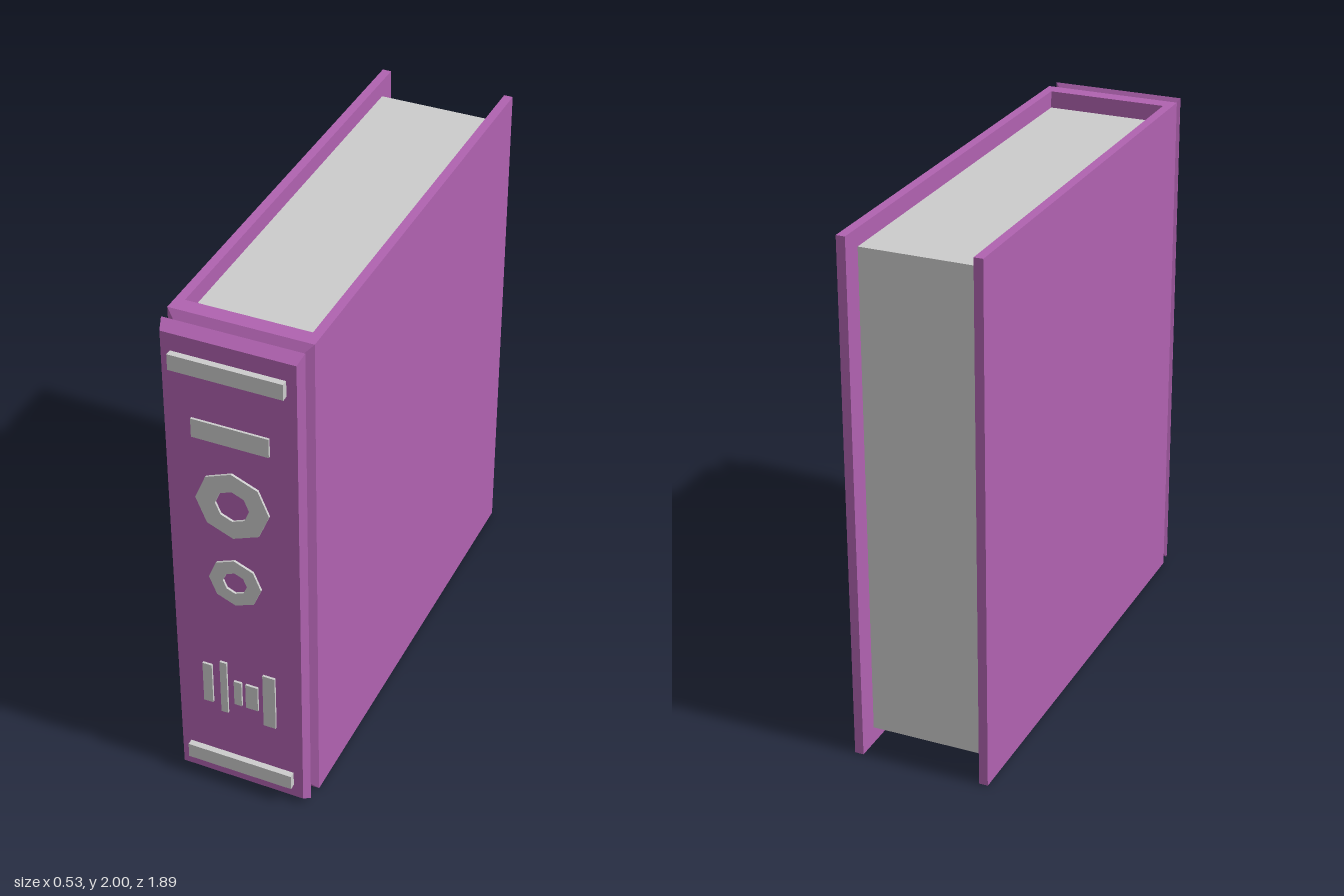
import * as THREE from 'three';

export function createModel() {
  const book = new THREE.Group();
  book.name = 'book';
  const purple = new THREE.MeshStandardMaterial({ color: 0xb062b0, flatShading: true });
  const grey = new THREE.MeshStandardMaterial({ color: 0xcccccc, flatShading: true });

  function add(name, geometry, material) {
    const mesh = new THREE.Mesh(geometry, material);
    mesh.name = name;
    book.add(mesh);
    return mesh;
  }

  // Box given by its limits on each axis
  function addBox(name, [x0, x1], [y0, y1], [z0, z1], material) {
    const mesh = add(name, new THREE.BoxGeometry(x1 - x0, y1 - y0, z1 - z0), material);
    mesh.position.set((x0 + x1) / 2, (y0 + y1) / 2, (z0 + z1) / 2);
  }

  // Cover: U-shaped plan (shape y is -z) raised to full height
  const outer = 0.264, inner = 0.23, hinge = 0.825, board = 0.765, back = -0.945;
  const plan = new THREE.Shape([
    [-outer, back], [-outer, hinge], [outer, hinge], [outer, back],
    [inner, back], [inner, board], [-inner, board], [-inner, back],
  ].map(([x, z]) => new THREE.Vector2(x, -z)));
  const cover = new THREE.ExtrudeGeometry(plan, { depth: 2, bevelEnabled: false });
  cover.rotateX(-Math.PI / 2);
  add('cover', cover, purple);

  // Spine: rectangular sections [half width, inset in height, z] form groove and bevel
  const sections = [[outer, 0, hinge], [0.215, 0.05, 0.856], [0.257, 0, 0.882], [0.244, 0.028, 0.921]];
  const spine = new THREE.BoxGeometry(2, 2, 3, 1, 1, 3);
  const pos = spine.attributes.position;
  for (let i = 0; i < pos.count; i++) {
    const [halfWidth, inset, z] = sections[Math.round(pos.getZ(i) + 1.5)];
    pos.setXYZ(i, pos.getX(i) * halfWidth, 1 + pos.getY(i) * (1 - inset), z);
  }
  spine.computeVertexNormals();
  add('spine', spine, purple);

  // Page block
  addBox('pages', [-inner, inner], [0.065, 1.935], [-0.86, board], grey);

  // Raised bands at both ends of the spine
  const face = 0.915;
  for (const y of [0.115, 1.873]) {
    addBox('spineBand', [-0.21, 0.207], [y - 0.031, y + 0.031], [face, 0.945], grey);
  }

  // Flat bars on the spine: [x range, y range]
  const bars = [
    [[-0.143, 0.143], [1.58, 1.655]],
    [[-0.143, -0.106], [0.385, 0.565]],
    [[-0.074, -0.047], [0.355, 0.595]],
    [[-0.02, 0.01], [0.41, 0.52]],
    [[0.026, 0.074], [0.41, 0.52]],
    [[0.095, 0.143], [0.35, 0.59]],
  ];
  for (const [x, y] of bars) addBox('spineBar', x, y, [face, 0.93], grey);

  // Octagonal rings: [centre height, outer radius, inner radius]
  const octagon = (r) => Array.from({ length: 8 }, (_, i) =>
    new THREE.Vector2(r * Math.cos(i * Math.PI / 4), r * Math.sin(i * Math.PI / 4)));
  for (const [y, r, hole] of [[1.327, 0.138, 0.064], [0.988, 0.1, 0.046]]) {
    const shape = new THREE.Shape(octagon(r));
    shape.holes.push(new THREE.Path(octagon(hole)));
    const ring = new THREE.ExtrudeGeometry(shape, { depth: 0.93 - face, bevelEnabled: false });
    add('spineRing', ring, grey).position.set(0, y, face);
  }

  return book;
}
